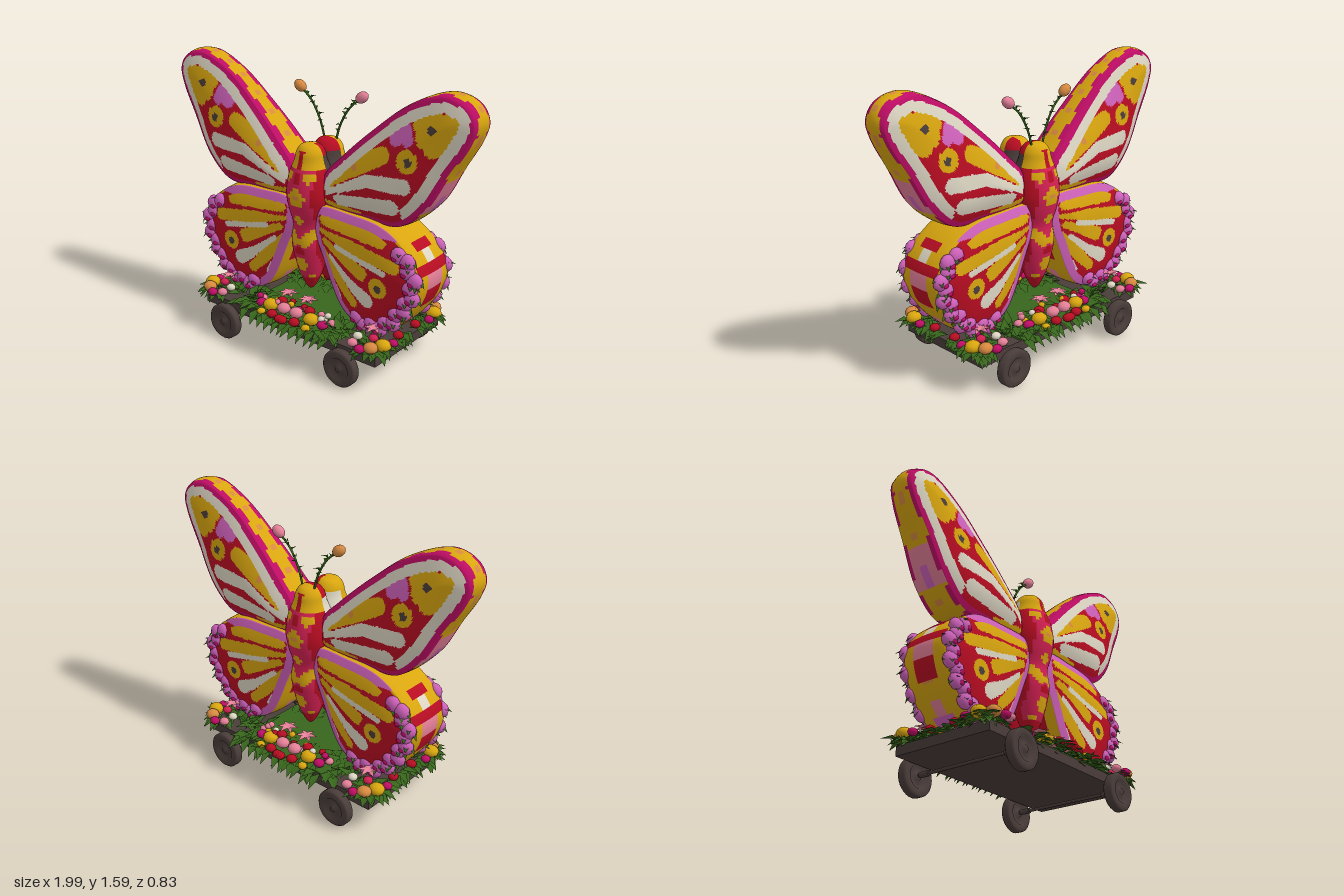
import * as THREE from 'three';
import { mergeGeometries } from 'three/addons/utils/BufferGeometryUtils.js';

const mat = (name, color, side = THREE.FrontSide) => Object.assign(new THREE.MeshStandardMaterial({ color, side }), { name });
const V = (x, y, z = 0) => new THREE.Vector3(x, y, z);
const V2 = (p) => p.map(([x, y]) => new THREE.Vector2(x, y));

export function createModel() {
  const M = {
    red: mat('crimson', 0xb80d22), gold: mat('gold', 0xd9a60f), cream: mat('cream', 0xddd6c3),
    magenta: mat('magenta', 0xc00d66), orchid: mat('orchid', 0xd062bb), pink: mat('pink', 0xe58098, THREE.DoubleSide),
    green: mat('leafGreen', 0x38661c, THREE.DoubleSide), brown: mat('darkBrown', 0x4a3d3a),
    orange: mat('orange', 0xd88a40), rose: mat('rose', 0xd42052),
  };
  const keys = Object.keys(M), mats = Object.values(M);
  const root = new THREE.Group();
  root.name = 'butterflyFloat';
  const add = (name, geo, material) => {
    const m = new THREE.Mesh(geo, material);
    m.name = name;
    root.add(m);
    return m;
  };
  let seed = 7;
  const rnd = (a, b) => { seed = (seed * 16807) % 2147483647; return a + (b - a) * seed / 2147483647; };

  // sort the quads of a smooth geometry into colour groups by a rule on their centres
  function paint(geo, rule) {
    const idx = geo.index.array, P = geo.attributes.position;
    const bins = keys.map(() => []), c = V(0, 0), v = V(0, 0);
    for (let t = 0; t < idx.length; t += 6) {
      c.set(0, 0, 0);
      const quad = Array.from(idx.slice(t, t + 6));
      quad.forEach((i) => c.add(v.fromBufferAttribute(P, i)));
      bins[keys.indexOf(rule(c.divideScalar(6)))].push(...quad);
    }
    geo.setIndex(bins.flat());
    geo.clearGroups();
    let start = 0;
    bins.forEach((b, i) => { if (b.length) geo.addGroup(start, b.length, i); start += b.length; });
    return geo;
  }

  // tapered strokes: [colour, x1, y1, r1, x2, y2, r2]
  const stroke = (list, x, y) => {
    for (const [col, x1, y1, r1, x2 = x1, y2 = y1, r2 = r1] of list) {
      const dx = x2 - x1, dy = y2 - y1;
      const t = Math.min(1, Math.max(0, ((x - x1) * dx + (y - y1) * dy) / (dx * dx + dy * dy || 1)));
      if (Math.hypot(x - x1 - dx * t, y - y1 - dy * t) < r1 + (r2 - r1) * t) return col;
    }
    return null;
  };

  // pillow-shaped wing: rings run from the front centre over the rim to the back centre
  const N = 150, F = 38, R = 8;
  function wing(name, outline, centre, edge, mid, taper, rule) {
    const pts = new THREE.CatmullRomCurve3(outline.map(([x, y]) => V(x, y)), true, 'centripetal').getSpacedPoints(N).slice(0, N);
    const depth = (x, y) => {
      let best = 9;
      for (let i = 0; i < N; i++) {
        const a = pts[i], b = pts[(i + 1) % N], dx = b.x - a.x, dy = b.y - a.y;
        const t = Math.min(1, Math.max(0, ((x - a.x) * dx + (y - a.y) * dy) / (dx * dx + dy * dy)));
        best = Math.min(best, Math.hypot(x - a.x - dx * t, y - a.y - dy * t));
      }
      return best;
    };
    const rings = [];
    for (let j = 0; j <= F; j++) rings.push({ s: 0.97 * (j / F) ** 0.85, side: 1 });
    for (let j = 1; j < R; j++) { const t = 1 - 2 * j / R; rings.push({ s: 1 - 0.03 * t * t, z: edge * t }); }
    for (let j = F; j >= 0; j--) rings.push({ s: 0.97 * (j / F) ** 0.85, side: -1 });
    for (const sx of [1, -1]) {
      const pos = [], idx = [];
      rings.forEach(({ s, z, side }, j) => pts.forEach((p, i) => {
        const x = centre[0] + s * (p.x - centre[0]), y = centre[1] + s * (p.y - centre[1]);
        const d = side ? Math.min(1, Math.max(0, depth(x, y) - 0.01) / 0.2) : 0;
        pos.push(sx * x, y, taper(y) * (side ? side * (edge + (mid - edge) * (1 - (1 - d) ** 2)) : z));
        if (j === rings.length - 1) return;
        const a = j * N + i, b = j * N + (i + 1) % N, c = a + N, e = b + N;
        idx.push(...(sx > 0 ? [a, c, e, a, e, b] : [a, e, c, a, b, e]));
      }));
      const g = new THREE.BufferGeometry();
      g.setAttribute('position', new THREE.Float32BufferAttribute(pos, 3));
      g.setIndex(idx);
      g.computeVertexNormals();
      add((sx > 0 ? 'left' : 'right') + name, paint(g, (c) => {
        const x = Math.abs(c.x), z = Math.abs(c.z) / taper(c.y);
        return rule(x, c.y, z, z < edge * 0.98 ? 0 : depth(x, c.y));
      }), mats);
    }
    return pts;
  }

  const upperMarks = [
    ['brown', 0.77, 1.405, 0.022], ['brown', 0.655, 1.23, 0.022], ['orange', 0.33, 1.14, 0.018],
    ['orchid', 0.605, 1.38, 0.055, 0.57, 1.34, 0.045], ['orchid', 0.64, 1.34, 0.035],
    ['gold', 0.88, 1.45, 0.05, 0.71, 1.43, 0.055], ['gold', 0.86, 1.43, 0.05, 0.78, 1.33, 0.055], ['gold', 0.75, 1.38, 0.07],
    ['gold', 0.65, 1.235, 0.06], ['gold', 0.5, 1.235, 0.046, 0.31, 1.135, 0.052], ['gold', 0.31, 1.135, 0.05, 0.12, 0.99, 0.02],
    ['cream', 0.64, 1.105, 0.042, 0.42, 1.09, 0.035], ['cream', 0.42, 1.09, 0.034, 0.15, 0.965, 0.014],
    ['cream', 0.57, 0.98, 0.044, 0.24, 0.945, 0.034], ['gold', 0.36, 0.888, 0.016, 0.14, 0.9, 0.024],
  ];
  wing('UpperWing', [[0.995, 1.465], [0.95, 1.545], [0.82, 1.585], [0.6, 1.5], [0.39, 1.335], [0.2, 1.155], [0.1, 1.04],
    [0.1, 0.88], [0.42, 0.855], [0.6, 0.865], [0.74, 0.98], [0.87, 1.2], [0.97, 1.37]], [0.5, 1.12], 0.1, 0.16,
  (y) => 1 - 0.35 * THREE.MathUtils.smoothstep(y, 0.95, 1.55), (x, y, z, d) => {
    if (d === 0) { // rim
      const outer = x > 0.55 && y < 1.4;
      if (z > (outer ? 0.082 : 0.06) + 0.012 * Math.sin(x * 45)) return 'magenta';
      if (outer && y > 1.06 && y < 1.15) return 'pink';
      if (outer && y > 0.96 && y < 1.06) return z < 0.03 ? 'orchid' : 'pink';
      return z < 0.022 && Math.sin(x * 60) > 0.75 ? 'orange' : 'gold';
    }
    if (d < 0.036) return 'magenta';
    if (d < 0.088 && (y > 0.97 || x > 0.62)) return 'cream';
    return stroke(upperMarks, x, y) || 'red';
  });

  const lowerMarks = [
    ['brown', 0.52, 0.525, 0.022], ['gold', 0.52, 0.53, 0.056],
    ['gold', 0.52, 0.785, 0.036, 0.15, 0.815, 0.03], ['gold', 0.61, 0.665, 0.034, 0.38, 0.71, 0.036],
    ['gold', 0.38, 0.71, 0.036, 0.12, 0.755, 0.014], ['cream', 0.55, 0.62, 0.018, 0.25, 0.69, 0.016],
    ['gold', 0.41, 0.585, 0.042, 0.16, 0.7, 0.02], ['cream', 0.45, 0.44, 0.042, 0.35, 0.5, 0.03], ['cream', 0.35, 0.5, 0.025, 0.2, 0.62, 0.014],
    ['gold', 0.36, 0.4, 0.03, 0.26, 0.5, 0.036], ['gold', 0.26, 0.5, 0.036, 0.14, 0.65, 0.014], ['cream', 0.25, 0.4, 0.022, 0.13, 0.59, 0.018],
  ];
  // rim bands: [top, centre colour, half width]
  const rimBands = [[0.3, 'orchid', 0.07], [0.36, 'pink', 0.035], [0.45, 'gold', 0.1], [0.56, 'red', 0.06], [0.64, 'pink', 0.06],
    [0.69, 'red', 0.115], [0.75, 'cream', 0.045], [0.79, 'red', 0.055], [1, 'gold', 0.1]];
  const lowerEdge = wing('LowerWing', [[0.08, 0.87], [0.31, 0.885], [0.52, 0.86], [0.68, 0.76], [0.76, 0.635], [0.755, 0.53],
    [0.68, 0.385], [0.55, 0.26], [0.39, 0.245], [0.26, 0.31], [0.12, 0.58], [0.06, 0.75]].reverse(), [0.42, 0.58], 0.13, 0.172, () => 1, (x, y, z, d) => {
    if (d === 0) {
      const [, col, half] = rimBands.find(([top]) => y < top);
      if (z < 0.02 && Math.sin(y * 45) > 0.7 && col === 'gold') return 'orange';
      return z < half ? col : 'gold';
    }
    if (d < 0.055) return x > 0.5 && y < 0.8 ? (d < 0.025 ? 'gold' : 'red') : 'orchid';
    return stroke(lowerMarks, x, y) || 'red';
  });

  // paired bodies, one on each face
  const prof = new THREE.SplineCurve(V2([[0, 0.34], [0.03, 0.37], [0.07, 0.46], [0.1, 0.58], [0.107, 0.65], [0.098, 0.74], [0.122, 0.83],
    [0.135, 0.92], [0.12, 1.02], [0.09, 1.1], [0.078, 1.15], [0.05, 1.185], [0, 1.195]])).getPoints(56);
  prof.forEach((p) => { p.x = Math.max(0, p.x); });
  const spots = [['orange', 0, 0.91, 0.016], ['gold', 0, 0.91, 0.052], ['gold', 0, 0.78, 0.028], ['gold', 0.07, 0.7, 0.025, 0.035, 0.66, 0.03],
    ['red', 0, 0.6, 0.03], ['gold', 0, 0.52, 0.04], ['gold', 0.065, 1.03, 0.028], ['gold', 0.04, 0.44, 0.016], ['red', 0, 1.02, 0.025]];
  for (const sz of [1, -1]) {
    const body = add(sz > 0 ? 'frontBody' : 'backBody', paint(new THREE.LatheGeometry(prof, 40), ({ x, y, z }) => {
      const ax = Math.abs(x);
      if (z * sz < 0) {
        if (y > 1.13) return sz < 0 || x > 0.02 ? 'red' : 'gold';
        return y > 0.92 ? (x > 0 ? 'brown' : 'cream') : 'red';
      }
      if (y > 1.07) return ax < 0.018 && y < 1.16 ? 'red' : 'gold';
      return stroke(spots, ax, y) || (ax > 0.085 || y < 0.42 ? 'red' : 'rose');
    }), mats);
    body.position.z = 0.075 * sz;
  }

  // loose pieces are gathered here and merged by name
  const bins = {};
  const put = (name, color, geo) => (bins[name] ??= { color, list: [] }).list.push(geo);
  const ball = (x, y, z, rx, ry = rx, rz = rx) => new THREE.SphereGeometry(1, 9, 6).scale(rx, ry, rz).translate(x, y, z);
  // folded leaf along +z, turned by yaw and raised by pitch
  const leaf = (x, y, z, yaw, pitch, len, w) => {
    const g = new THREE.BufferGeometry();
    g.setAttribute('position', new THREE.Float32BufferAttribute(
      [0, 0, 0, w, 0.012, len * 0.45, 0, 0, len * 0.5, -w, 0.012, len * 0.45, 0, -0.02, len], 3));
    g.setIndex([0, 2, 1, 0, 3, 2, 1, 2, 4, 2, 3, 4]);
    g.computeVertexNormals();
    return g.rotateX(-pitch).rotateY(yaw).translate(x, y, z);
  };

  // blossoms along the outer edge of the lower wings
  const edgePts = lowerEdge.filter((p) => (p.x > 0.6 && p.y < 0.8) || (p.y < 0.42 && p.x > 0.36));
  for (const sx of [1, -1]) for (const sz of [1, -1]) edgePts.forEach((p, i) => {
    if (i % 4) return;
    const k = i % 8 ? 0.9 : 0.82;
    const x = sx * (0.42 + (p.x - 0.42) * k), y = 0.58 + (p.y - 0.58) * k;
    put('edgeBlossoms', 'orchid', ball(x, y, sz * 0.14, 0.046, 0.046, 0.034));
    put('blossomHearts', 'magenta', ball(x - sx * 0.01, y - 0.014, sz * 0.166, 0.018, 0.014, 0.01));
    for (const a of [0.5, 1.3])
      put('edgeLeaves', 'green', leaf(x, y, sz * 0.13, sz > 0 ? sx * a : Math.PI - sx * a, rnd(-0.6, 0.6), 0.066, 0.02));
  });

  // flower bed
  for (const sz of [1, -1]) {
    const out = sz > 0 ? 0 : Math.PI;
    for (let i = 0; i < 90; i++) {
      const x = rnd(-0.33, 0.33), z = rnd(0.06, 0.3);
      put('bedLeaves', 'green', leaf(x, 0.222, sz * z, out + sz * x * 1.6 + rnd(-0.6, 0.6), rnd(-0.3, 0.5), rnd(0.09, 0.13), 0.03));
    }
    for (let i = 0; i < 10; i++) // drooping fringe
      put('fringeLeaves', 'green', leaf(-0.27 + i * 0.06, 0.228, sz * 0.3, out + rnd(-0.3, 0.3), -0.3, 0.11, 0.026));
    for (let i = 0; i < 14; i++) {
      const c = ['cream', 'pink', 'red', 'gold', 'magenta'][i % 5];
      put(c + 'Buds', c, ball(rnd(-0.28, 0.28), rnd(0.25, 0.29), sz * rnd(0.17, 0.24), 0.02, 0.017, 0.02));
    }
    for (const sx of [1, -1]) {
      for (let i = 0; i < 44; i++) {
        const a = rnd(0, Math.PI * 2), r = rnd(0, 0.06);
        put('bedLeaves', 'green', leaf(sx * 0.565 + r * Math.sin(a), 0.23, sz * 0.235 + r * Math.cos(a), a, rnd(-0.4, 0.45), rnd(0.07, 0.11), 0.026));
      }
      for (let i = 0; i < 10; i++)
        put('bedLeaves', 'green', leaf(sx * 0.57, 0.225, sz * rnd(0, 0.2), sx * 1.57 + rnd(-0.6, 0.6), rnd(-0.3, 0.3), 0.11, 0.026));
      for (let i = 0; i < 14; i++)
        put('tallLeaves', 'green', leaf(sx * rnd(0.28, 0.46), 0.21, sz * rnd(0.15, 0.24), rnd(0, 6.28), rnd(0.3, 1), rnd(0.08, 0.14), 0.028));
      // buds: colour, x, y, z, radius
      for (const [c, x, y, z, r] of [['gold', 0.145, 0.262, 0.255, 0.043], ['pink', 0.045, 0.272, 0.26, 0.038], ['red', 0.08, 0.25, 0.32, 0.03],
        ['red', 0.01, 0.25, 0.34, 0.028], ['magenta', 0.22, 0.25, 0.25, 0.03], ['gold', 0.16, 0.24, 0.32, 0.025], ['red', 0.1, 0.28, 0.21, 0.03],
        ['pink', 0.25, 0.25, 0.2, 0.025], ['gold', 0.615, 0.26, 0.24, 0.042], ['orange', 0.58, 0.26, 0.3, 0.038], ['magenta', 0.53, 0.25, 0.33, 0.028],
        ['pink', 0.47, 0.26, 0.31, 0.028], ['cream', 0.46, 0.27, 0.25, 0.026], ['magenta', 0.63, 0.25, 0.17, 0.026], ['red', 0.6, 0.25, 0.08, 0.028],
        ['rose', 0.54, 0.27, 0.22, 0.026]])
        put(c + 'Buds', c, ball(sx * x, y, sz * z, r * 1.1, r * 0.8, r));
      // open lilies
      for (const x of [0.07, 0.52]) for (let k = 0; k < 6; k++)
        put('lilyPetals', 'pink', leaf(sx * x, 0.318 - x * 0.05, sz * 0.19, k * Math.PI / 3, 0.55, 0.065, 0.019));
    }
  }

  // antennae with leafy stems and bud tips
  for (const sx of [1, -1]) {
    const curve = new THREE.CatmullRomCurve3([V(sx * 0.03, 1.14, -0.09), V(sx * 0.07, 1.27, -0.09), V(sx * 0.13, 1.37, -0.09), V(sx * 0.2, 1.43, -0.09)]);
    put('antennaStems', 'green', new THREE.TubeGeometry(curve, 16, 0.006, 6));
    for (let k = 2; k < 9; k++) {
      const p = curve.getPoint(k / 10);
      put('antennaLeaves', 'green', leaf(p.x, p.y, p.z, k * 2.1, 0.9, 0.035, 0.01));
    }
    const bud = add('antennaBud', new THREE.SphereGeometry(0.03, 12, 10).scale(1.35, 1, 1), sx > 0 ? M.pink : M.orange);
    bud.position.set(sx * 0.21, 1.44, -0.09);
    bud.rotation.z = sx * 0.6;
  }
  for (const [name, { color, list }] of Object.entries(bins)) add(name, mergeGeometries(list), M[color]);

  // cart
  add('deck', new THREE.BoxGeometry(1.22, 0.055, 0.6), M.brown).position.y = 0.183;
  add('centreBed', new THREE.BoxGeometry(0.66, 0.012, 0.58), M.green).position.y = 0.216;
  const tyre = V2([[0, -0.026], [0.018, -0.026], [0.024, -0.016], [0.055, -0.014], [0.064, -0.028], [0.095, -0.028], [0.105, -0.018],
    [0.105, 0.018], [0.095, 0.028], [0.064, 0.028], [0.055, 0.014], [0.024, 0.016], [0.018, 0.026], [0, 0.026]]);
  for (const x of [0.42, -0.42]) {
    add('axle', new THREE.CylinderGeometry(0.009, 0.009, 0.66, 10).rotateX(Math.PI / 2), M.brown).position.set(x, 0.11, 0);
    for (const sz of [1, -1]) {
      add('wheel', new THREE.LatheGeometry(tyre, 32).rotateX(Math.PI / 2), M.brown).position.set(x, 0.105, sz * 0.342);
      add('axleCollar', new THREE.CylinderGeometry(0.016, 0.016, 0.06, 10).rotateX(Math.PI / 2), M.brown).position.set(x, 0.11, sz * 0.275);
    }
  }
  return root;
}
